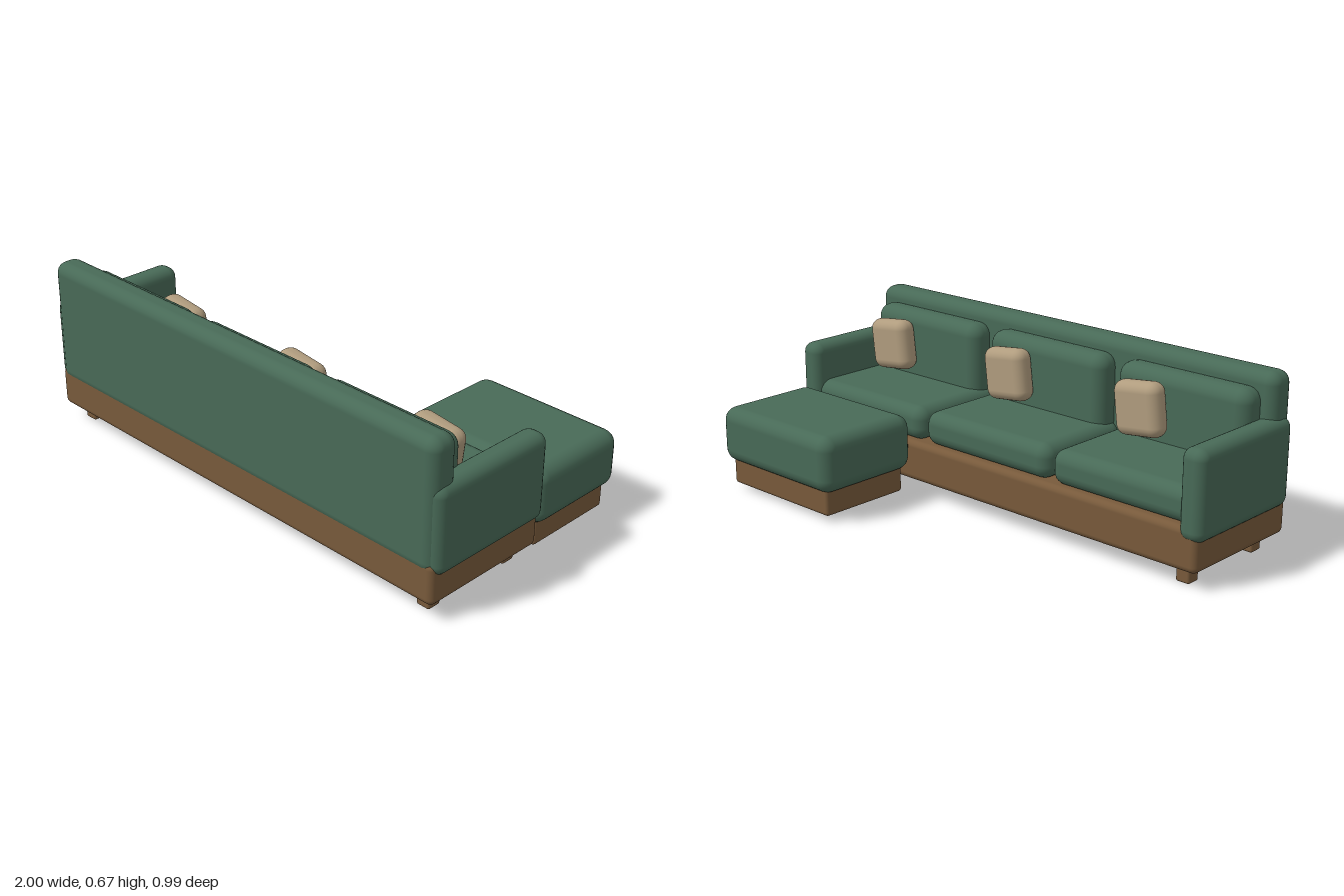
import * as THREE from 'three';
import { RoundedBoxGeometry } from 'three/addons/geometries/RoundedBoxGeometry.js';

export function createModel() {
  const group = new THREE.Group();
  group.name = 'sofaWithOttoman';

  const material = (name, color) => {
    const m = new THREE.MeshStandardMaterial({ color });
    m.name = name;
    return m;
  };
  const fabric = material('greenFabric', 0x486a57);
  const wood = material('brownWood', 0x785a3b);
  const linen = material('beigeLinen', 0xb09c7e);

  // Rounded block given by its extents along each axis
  const block = (name, mat, [x0, x1], [y0, y1], [z0, z1], radius, segments = 3) => {
    const geometry = new RoundedBoxGeometry(x1 - x0, y1 - y0, z1 - z0, segments, radius);
    const mesh = new THREE.Mesh(geometry, mat);
    mesh.name = name;
    mesh.position.set((x0 + x1) / 2, (y0 + y1) / 2, (z0 + z1) / 2);
    group.add(mesh);
    return mesh;
  };
  const span = (centre, size) => [centre - size / 2, centre + size / 2];

  // Frame
  block('base', wood, [-0.98, 0.98], [0.063, 0.225], [-0.047, 0.489], 0.025);

  // Backrest
  block('backrest', fabric, [-0.98, 0.98], [0.175, 0.67], [0.378, 0.493], 0.045);

  // Arms and legs, mirrored
  for (const side of [-1, 1]) {
    block('arm', fabric, span(side * 0.95, 0.1), [0.174, 0.506], [-0.055, 0.482], 0.04);
    for (const z of [0.03, 0.404]) {
      block('leg', wood, span(side * 0.894, 0.057), [0, 0.09], span(z, 0.057), 0.009, 2);
    }
  }

  // Three seats, each with a back cushion and a tilted pillow
  for (const i of [-1, 0, 1]) {
    const x = i * 0.638;
    block('seatCushion', fabric, span(x, 0.626), [0.222, 0.356], [-0.037, 0.4], 0.05);
    block('backCushion', fabric, span(x, 0.578), [0.3, 0.617], [0.292, 0.41], 0.053);
    const pillow = block('pillow', linen, span(x + 0.133, 0.202), [0.378, 0.583], [0.206, 0.294], 0.04);
    pillow.rotation.z = -0.12;
  }

  // Ottoman
  block('ottomanBase', wood, [0.393, 0.945], [0.022, 0.15], [-0.462, -0.077], 0.014);
  block('ottomanCushion', fabric, [0.358, 0.98], [0.115, 0.335], [-0.492, -0.047], 0.053);

  return group;
}
